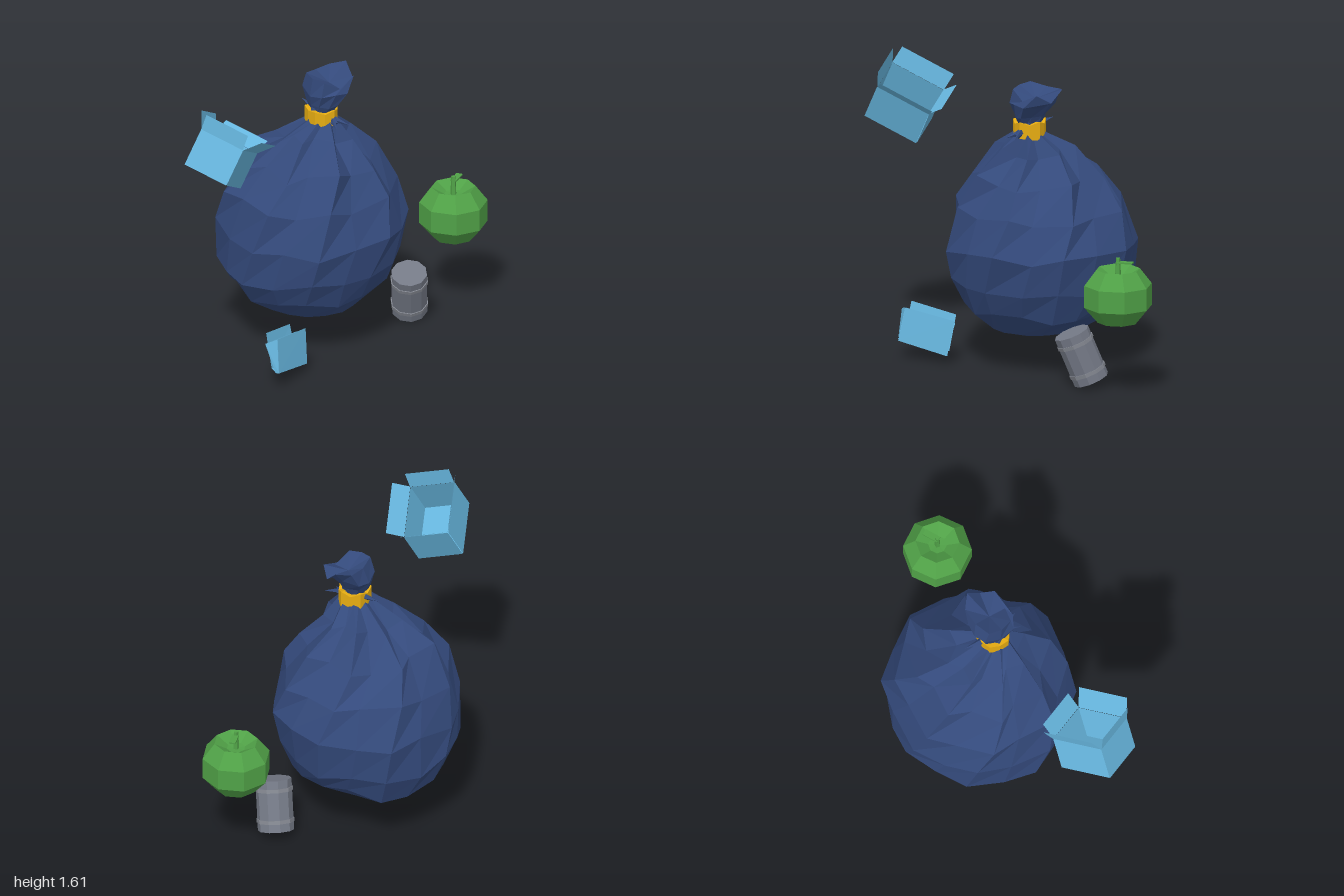
import * as THREE from 'three';

const mat = (name, color) => {
  const m = new THREE.MeshStandardMaterial({ color, flatShading: true });
  m.name = name;
  return m;
};

// small seeded noise in -1..1
function makeNoise(seed) {
  return () => {
    seed = (seed * 16807) % 2147483647;
    return (seed / 2147483647) * 2 - 1;
  };
}

// closed loft; point(ring, side) gives a Vector3, ends are closed with a fan
function loft(rings, sides, point, bottom, top) {
  const pts = [], idx = [];
  for (let r = 0; r < rings; r++)
    for (let i = 0; i < sides; i++) pts.push(point(r, i));
  const b = pts.push(bottom) - 1, t = pts.push(top) - 1;
  const last = (rings - 1) * sides;
  for (let i = 0; i < sides; i++) {
    const j = (i + 1) % sides;
    for (let r = 0; r < rings - 1; r++) {
      const a = r * sides + i, c = r * sides + j;
      idx.push(a, a + sides, c, c, a + sides, c + sides);
    }
    idx.push(b, i, j, t, last + j, last + i);
  }
  const g = new THREE.BufferGeometry().setFromPoints(pts);
  g.setIndex(idx);
  const flat = g.toNonIndexed();
  flat.computeVertexNormals();
  return flat;
}

// thin four-cornered cardboard sheet with a face on each side
function sheet(a, b, c, d) {
  const n = b.clone().sub(a).cross(d.clone().sub(a)).setLength(0.002);
  const [e, f, g, h] = [a, b, c, d].map(p => p.clone().add(n));
  const [i, j, k, l] = [a, b, c, d].map(p => p.clone().sub(n));
  const geo = new THREE.BufferGeometry().setFromPoints([e, f, g, e, g, h, i, k, j, i, l, k]);
  geo.computeVertexNormals();
  return geo;
}

export function createModel() {
  const model = new THREE.Group();
  model.name = 'floatingTrash';
  const V = (x, y, z) => new THREE.Vector3(x, y, z);
  const bagBlue = mat('bagBlue', 0x344a7c);
  const tieYellow = mat('tieYellow', 0xe9ae12);
  const boxBlue = mat('boxBlue', 0x66b5dd);
  const fruitGreen = mat('fruitGreen', 0x50a147);
  const canGrey = mat('canGrey', 0x747986);
  const bandGrey = mat('bandGrey', 0x82868f);
  const add = (parent, name, geometry, material) => {
    const m = new THREE.Mesh(geometry, material);
    m.name = name;
    parent.add(m);
    return m;
  };

  // Bag body: rings of [y, xMin, xMax, zMin, zMax, pleat depth, twist]
  const bag = new THREE.Group();
  bag.name = 'bag';
  model.add(bag);
  const body = [
    [0.19, -0.14, 0.17, -0.14, 0.18, 0, 0],
    [0.215, -0.25, 0.27, -0.27, 0.27, 0.02, 0],
    [0.33, -0.39, 0.45, -0.44, 0.4, 0.02, -0.03],
    [0.47, -0.475, 0.515, -0.505, 0.465, 0.03, -0.08],
    [0.67, -0.495, 0.565, -0.515, 0.51, 0.05, -0.18],
    [0.88, -0.455, 0.505, -0.465, 0.465, 0.09, -0.34],
    [1.05, -0.35, 0.39, -0.355, 0.385, 0.17, -0.46],
    [1.19, -0.2, 0.24, -0.18, 0.25, 0.27, -0.56],
    [1.29, -0.06, 0.11, 0.0, 0.17, 0.25, -0.62],
    [1.36, -0.04, 0.09, 0.02, 0.15, 0.15, -0.66],
  ];
  const n1 = makeNoise(4711);
  add(bag, 'bagBody', loft(body.length, 16, (r, i) => {
    const [y, x0, x1, z0, z1, pleat, twist] = body[r];
    const belly = r > 1 && r < 8 ? 1 : 0;
    const fold = r > 4 && r < 8 ? 0.1 : 0;
    const odd = i % 2;
    const a = (i / 16) * Math.PI * 2 + twist + odd * fold + n1() * 0.04 * belly;
    const k = (1 - pleat * odd) * (1 + n1() * 0.015 * belly);
    return V((x0 + x1) / 2 + Math.cos(a) * k * (x1 - x0) / 2,
      y + n1() * 0.035 * belly,
      (z0 + z1) / 2 + Math.sin(a) * k * (z1 - z0) / 2);
  }, V(0.01, 0.19, 0.03), V(0.025, 1.36, 0.085)), bagBlue);

  // Gathered ruffle above the tie: rings of [y, centre x, centre z, rx, rz, unevenness]
  const ruffle = [
    [1.32, 0.025, 0.085, 0.055, 0.06, 0],
    [1.38, 0.03, 0.088, 0.075, 0.1, 0.008],
    [1.45, 0.05, 0.09, 0.115, 0.135, 0.015],
    [1.52, 0.09, 0.09, 0.15, 0.11, 0.035],
  ];
  const n2 = makeNoise(99);
  add(bag, 'bagRuffle', loft(ruffle.length, 9, (r, i) => {
    const [y, x, z, rx, rz, j] = ruffle[r];
    const a = (i / 9) * Math.PI * 2 - r * 0.12;
    const k = i % 2 ? 0.88 : 1;
    return V(x + Math.cos(a) * rx * k, y + n2() * j + (i % 2 ? -j * 0.5 : j * 0.3), z + Math.sin(a) * rz * k);
  }, V(0.025, 1.32, 0.085), V(0.075, 1.48, 0.09)), bagBlue);

  // Yellow tie with an uneven rim
  const n3 = makeNoise(31);
  add(bag, 'bagTie', loft(2, 10, (r, i) => {
    const a = (i / 10) * Math.PI * 2 + 0.2;
    const rad = (i % 2 ? 0.084 : 0.092);
    return V(0.027 + Math.cos(a) * rad, (r ? 1.35 : 1.27) + n3() * 0.012, 0.086 + Math.sin(a) * rad);
  }, V(0.027, 1.3, 0.086), V(0.027, 1.345, 0.086)), tieYellow);

  // Knot and loose ends in front of and behind the tie
  const knot = add(bag, 'knot', new THREE.OctahedronGeometry(0.026), bagBlue);
  knot.position.set(0.035, 1.293, 0.18);
  const tail = (from, to) => {
    const dir = to.clone().sub(from);
    const m = add(bag, 'knotEnd', new THREE.ConeGeometry(0.02, dir.length(), 4), bagBlue);
    m.position.copy(from).addScaledVector(dir, 0.5);
    m.quaternion.setFromUnitVectors(V(0, 1, 0), dir.normalize());
  };
  tail(V(0.035, 1.305, 0.16), V(0.075, 1.285, 0.255));
  tail(V(0.035, 1.3, 0.16), V(-0.005, 1.275, 0.24));
  tail(V(0.03, 1.325, 0.01), V(0.04, 1.34, -0.09));

  // Open box: corner c with edges v (length), w (depth) and u (height)
  const box = new THREE.Group();
  box.name = 'openBox';
  model.add(box);
  const c = V(-0.905, 1.27, 0.365);
  const v = V(0.235, -0.14, -0.15), w = V(-0.095, 0.075, -0.225), u = V(0.105, 0.18, 0.016);
  const at = (i, j, k) => c.clone().addScaledVector(v, i).addScaledVector(w, j).addScaledVector(u, k);
  add(box, 'boxBottom', sheet(at(0, 0, 0), at(0, 1, 0), at(1, 1, 0), at(1, 0, 0)), boxBlue);
  const loop = [[0, 0], [1, 0], [1, 1], [0, 1]];
  const flapLean = [V(0.08, 0.04, 0.06), V(0.085, 0.04, -0.01), V(0.035, 0.085, -0.04), V(0.02, 0.085, 0.02)];
  loop.forEach(([i, j], s) => {
    const [p, q] = loop[(s + 1) % 4];
    const a = at(i, j, 1), b = at(p, q, 1);
    add(box, 'boxWall', sheet(at(i, j, 0), at(p, q, 0), b, a), boxBlue);
    add(box, 'boxFlap', sheet(a, b, b.clone().add(flapLean[s]), a.clone().add(flapLean[s])), boxBlue);
  });

  // Collapsed box: fanned leaves joined along folds
  const folded = new THREE.Group();
  folded.name = 'foldedBox';
  model.add(folded);
  const front = [V(-0.595, 0.1, 0.44), V(-0.32, 0.045, 0.355), V(-0.3, 0.235, 0.32), V(-0.575, 0.28, 0.405)];
  const middle = [V(-0.605, 0.1, 0.425), V(-0.34, 0.06, 0.345), V(-0.33, 0.21, 0.28), V(-0.63, 0.26, 0.37)];
  const back = [V(-0.6, 0.11, 0.385), V(-0.35, 0.06, 0.305), V(-0.35, 0.25, 0.25), V(-0.595, 0.3, 0.335)];
  for (const leaf of [front, middle, back]) add(folded, 'boxLeaf', sheet(...leaf), boxBlue);
  add(folded, 'boxFold', sheet(front[0], front[3], middle[3], middle[0]), boxBlue);
  add(folded, 'boxFold', sheet(middle[0], middle[1], back[1], back[0]), boxBlue);

  // Round fruit with a dimple, stalk and leaf
  const fruit = new THREE.Group();
  fruit.name = 'fruit';
  fruit.position.set(0.815, 0, 0.255);
  model.add(fruit);
  const profile = [[0, 0.44], [0.11, 0.41], [0.183, 0.495], [0.183, 0.615], [0.118, 0.7], [0.05, 0.66], [0, 0.655]];
  add(fruit, 'fruitBody', new THREE.LatheGeometry(profile.map(p => new THREE.Vector2(...p)), 8, 0.14), fruitGreen);
  const stalk = add(fruit, 'stalk', new THREE.CylinderGeometry(0.012, 0.017, 0.11, 5), fruitGreen);
  stalk.position.y = 0.706;
  const leaf = add(fruit, 'leaf', new THREE.BoxGeometry(0.09, 0.008, 0.035), fruitGreen);
  leaf.position.set(0.035, 0.738, -0.015);
  leaf.rotation.y = 0.45;

  // Tilted can with two raised bands
  const can = new THREE.Group();
  can.name = 'can';
  can.position.set(0.526, 0.167, 0.226);
  can.quaternion.setFromUnitVectors(V(0, 1, 0), V(-0.26, 0.93, 0.28).normalize());
  model.add(can);
  add(can, 'canBody', new THREE.CylinderGeometry(0.097, 0.097, 0.28, 10), canGrey);
  for (const y of [-0.085, 0.085])
    add(can, 'canBand', new THREE.CylinderGeometry(0.102, 0.102, 0.02, 10), bandGrey).position.y = y;

  return model;
}
